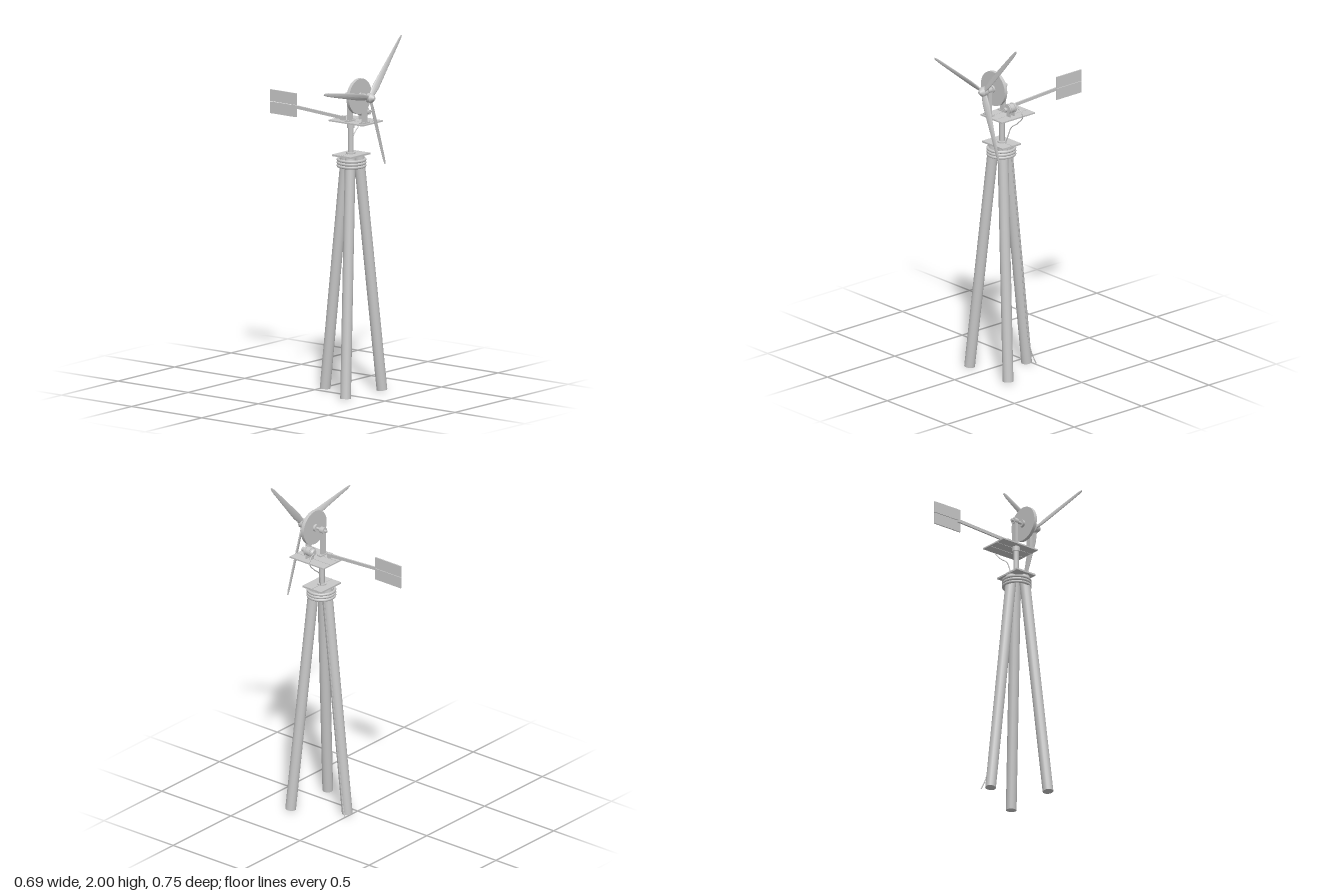
import * as THREE from 'three';

export function createModel() {
  const root = new THREE.Group();
  root.name = 'windTurbine';
  const grey = new THREE.MeshStandardMaterial({ color: 0xc8c8c8 });
  grey.name = 'light grey';

  const V = (x, y, z) => new THREE.Vector3(x, y, z);
  const CX = 0.064, CZ = 0.205, AXLE_Y = 1.687;

  function add(name, geometry, parent = root) {
    const m = new THREE.Mesh(geometry, grey);
    m.name = name;
    parent.add(m);
    return m;
  }
  // box given by its minimum and maximum corners
  function box(name, x0, x1, y0, y1, z0, z1, parent = root) {
    const m = add(name, new THREE.BoxGeometry(x1 - x0, y1 - y0, z1 - z0), parent);
    m.position.set((x0 + x1) / 2, (y0 + y1) / 2, (z0 + z1) / 2);
    return m;
  }
  // cylinder between two points
  function rod(name, a, b, ra, rb = ra, sides = 16, parent = root) {
    const d = b.clone().sub(a);
    const m = add(name, new THREE.CylinderGeometry(rb, ra, d.length(), sides), parent);
    m.position.copy(a).addScaledVector(d, 0.5);
    m.quaternion.setFromUnitVectors(V(0, 1, 0), d.normalize());
    return m;
  }
  function wire(name, points, r) {
    const curve = new THREE.CatmullRomCurve3(points, false, 'centripetal');
    return add(name, new THREE.TubeGeometry(curve, points.length * 8, r, 6));
  }

  // tripod
  rod('legFrontRight', V(-0.1, 0.003, 0.3), V(0.026, 1.345, 0.232), 0.03);
  rod('legFrontLeft', V(0.222, 0.003, 0.3), V(0.101, 1.345, 0.232), 0.03);
  rod('legBack', V(CX, 0.003, 0.022), V(CX, 1.345, 0.172), 0.03);

  // bands tying the legs together
  for (const y of [1.288, 1.305, 1.322]) {
    const ring = add('legBand', new THREE.TorusGeometry(0.075, 0.0085, 8, 32));
    ring.rotation.x = Math.PI / 2;
    ring.position.set(CX, y, 0.21);
  }

  // small top plate in two planks
  box('topPlankBack', -0.023, 0.15, 1.345, 1.355, 0.14, 0.204);
  box('topPlankFront', -0.023, 0.15, 1.345, 1.355, 0.207, 0.275);

  // mast
  rod('mast', V(CX, 1.35, CZ), V(CX, 1.53, CZ), 0.0155);
  rod('mastFoot', V(CX, 1.355, CZ), V(CX, 1.363, CZ), 0.026);
  rod('mastCollar', V(CX, 1.502, CZ), V(CX, 1.53, CZ), 0.022);

  // three plank platform
  [0.02, 0.081, 0.142].forEach(x => box('platformPlank', x, x + 0.058, 1.529, 1.537, 0.08, 0.325));

  // tail boom and vane
  const a = V(0.065, 1.549, 0.16), b = V(0.065, 1.57, -0.212);
  const boom = add('tailBoom', new THREE.BoxGeometry(0.009, 0.018, a.distanceTo(b)));
  boom.position.copy(a).lerp(b, 0.5);
  boom.lookAt(a);
  box('boomClamp', 0.054, 0.076, 1.537, 1.561, 0.135, 0.16);
  box('vaneUpper', 0.07, 0.077, 1.577, 1.643, -0.375, -0.19);
  box('vaneLower', 0.07, 0.077, 1.508, 1.574, -0.375, -0.19);

  // bearing posts with bolted feet
  for (const z of [0.198, 0.303]) {
    const post = new THREE.Group();
    post.name = 'bearingPost';
    root.add(post);
    box('postFoot', 0.032, 0.098, 1.537, 1.545, z - 0.013, z + 0.013, post);
    box('post', 0.05, 0.079, 1.545, AXLE_Y, z - 0.01, z + 0.01, post);
    rod('bearing', V(CX, AXLE_Y, z - 0.013), V(CX, AXLE_Y, z + 0.013), 0.019, 0.019, 16, post);
    for (const x of [0.04, 0.09]) rod('bolt', V(x, 1.545, z), V(x, 1.549, z), 0.004, 0.004, 6, post);
  }

  // axle and drive disc
  rod('axle', V(CX, AXLE_Y, 0.17), V(CX, AXLE_Y, 0.345), 0.008);
  rod('driveDisc', V(CX, AXLE_Y, 0.254), V(CX, AXLE_Y, 0.273), 0.1, 0.1, 40);
  rod('discHub', V(CX, AXLE_Y, 0.24), V(CX, AXLE_Y, 0.285), 0.021);

  // generator with friction wheel
  const GX = 0.153, GY = 1.583;
  rod('generatorBody', V(GX, GY, 0.195), V(GX, GY, 0.245), 0.026);
  rod('generatorCap', V(GX, GY, 0.185), V(GX, GY, 0.195), 0.016, 0.023);
  rod('generatorShaft', V(GX, GY, 0.245), V(GX, GY, 0.273), 0.005);
  rod('frictionWheel', V(GX, GY, 0.256), V(GX, GY, 0.27), 0.013);
  for (const z of [0.205, 0.235]) {
    rod('generatorBand', V(GX, GY, z - 0.003), V(GX, GY, z + 0.003), 0.029);
    box('generatorFoot', GX - 0.016, GX + 0.016, 1.537, GY - 0.015, z - 0.003, z + 0.003);
  }

  // power cable: down to the mast, then along the back leg
  wire('upperCable', [V(0.16, 1.58, 0.183), V(0.19, 1.57, 0.18), V(0.205, 1.535, 0.176),
    V(0.165, 1.487, 0.176), V(0.115, 1.447, 0.183), V(0.1, 1.4, 0.19), V(0.083, 1.35, 0.197)], 0.003);
  wire('lowerCable', [V(0.097, 1.345, 0.17), V(0.098, 0.7, 0.098), V(0.098, 0.14, 0.035),
    V(0.106, 0.06, 0.018), V(0.117, 0.005, -0.003)], 0.003);

  // rotor: hub, nose and three tapered twisted blades
  const rotor = new THREE.Group();
  rotor.name = 'rotor';
  rotor.position.set(CX, AXLE_Y, 0.343);
  root.add(rotor);
  rod('hub', V(0, 0, -0.012), V(0, 0, 0.012), 0.027, 0.027, 16, rotor);
  rod('nose', V(0, 0, 0.012), V(0, 0, 0.032), 0.027, 0.008, 16, rotor);

  const L = 0.404, START = 0.012;
  const blade = new THREE.CylinderGeometry(1, 1, L, 12, 12);
  const p = blade.attributes.position;
  for (let i = 0; i < p.count; i++) {
    const t = p.getY(i) / L + 0.5;
    const half = t < 0.15 ? THREE.MathUtils.lerp(0.014, 0.022, t / 0.15)
      : THREE.MathUtils.lerp(0.022, 0.009, (t - 0.15) / 0.85) * (t > 0.99 ? 0.6 : 1);
    const thick = THREE.MathUtils.lerp(0.006, 0.002, t);
    const twist = 0.5 * (1 - t);
    const x = p.getX(i) * half, z = p.getZ(i) * thick;
    p.setXYZ(i, x * Math.cos(twist) - z * Math.sin(twist), START + t * L,
      x * Math.sin(twist) + z * Math.cos(twist));
  }
  blade.computeVertexNormals();
  for (const deg of [48.5, 168.5, 288.5]) {
    add('blade', blade, rotor).rotation.z = THREE.MathUtils.degToRad(deg - 90);
  }
  return root;
}
